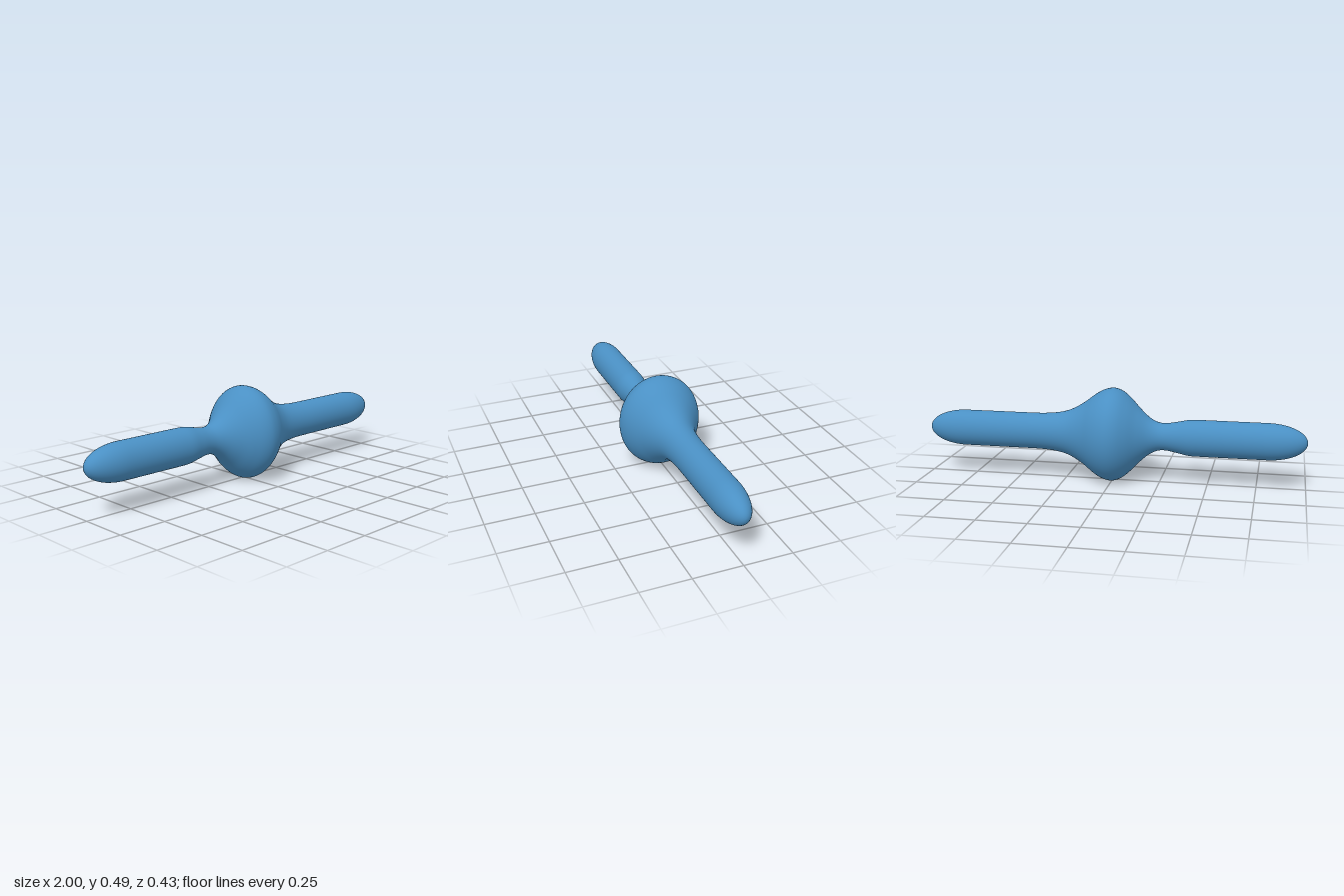
import * as THREE from 'three';

export function createModel() {
  const group = new THREE.Group();
  const rod = 0.095, capLength = 0.2, capSteps = 16;

  // Rounded rod end: quarter ellipse from the tip (t = 0) to the full rod (t = 1)
  const cap = (t) => {
    const a = t * Math.PI / 2;
    return [rod * Math.sin(a), 1 - capLength * (1 - Math.cos(a))];
  };

  // Middle of the profile as (position along x, radius): pinched neck, bulge, soft shoulder
  const middle = new THREE.SplineCurve([
    [-0.8, rod], [-0.6, rod], [-0.46, rod], [-0.4, 0.093], [-0.34, 0.081], [-0.28, 0.071],
    [-0.235, 0.076], [-0.19, 0.1], [-0.14, 0.145], [-0.09, 0.197], [-0.045, 0.232], [0, 0.245],
    [0.045, 0.235], [0.09, 0.21], [0.14, 0.172], [0.19, 0.14], [0.24, 0.117],
    [0.3, 0.103], [0.38, 0.096], [0.48, rod], [0.64, rod], [0.8, rod],
  ].map(([x, r]) => new THREE.Vector2(x, r)));

  const profile = [];
  for (let i = 0; i < capSteps; i++) {
    const [r, x] = cap(i / capSteps);
    profile.push(new THREE.Vector2(r, -x));
  }
  for (const p of middle.getPoints(126)) profile.push(new THREE.Vector2(p.y, p.x));
  for (let i = capSteps - 1; i >= 0; i--) {
    const [r, x] = cap(i / capSteps);
    profile.push(new THREE.Vector2(r, x));
  }

  // Turned body laid along x, with a slightly flattened oval section
  const geometry = new THREE.LatheGeometry(profile, 72);
  geometry.rotateZ(-Math.PI / 2);
  geometry.scale(1, 1, 0.876);
  geometry.translate(0, 0.245, 0);

  const body = new THREE.Mesh(geometry, new THREE.MeshStandardMaterial({ color: 0x4a90c4 }));
  body.name = 'bulgedRod';
  group.add(body);
  return group;
}
